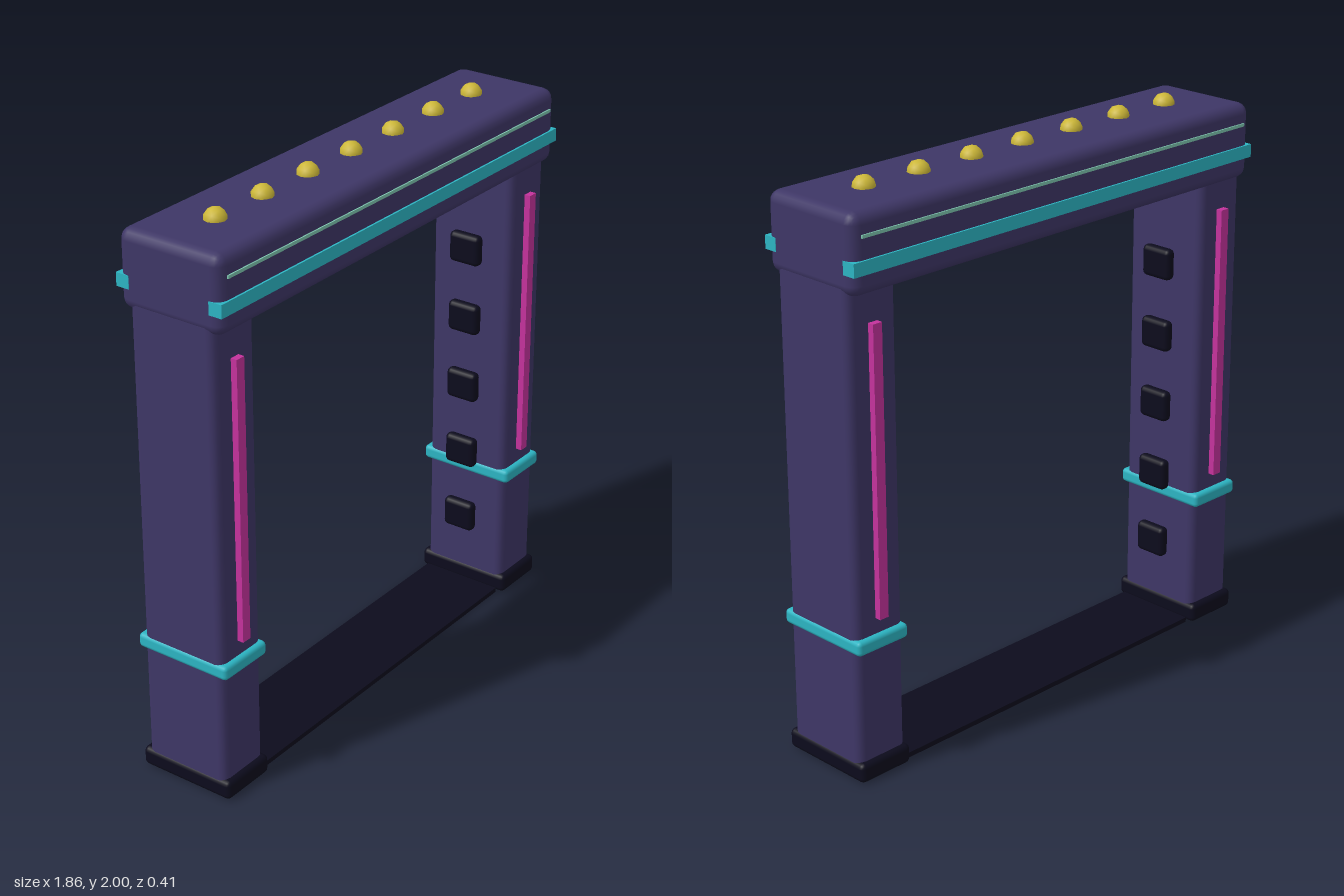
import * as THREE from 'three';
import { RoundedBoxGeometry } from 'three/addons/geometries/RoundedBoxGeometry.js';

const paint = (name, color) => {
  const m = new THREE.MeshStandardMaterial({ color });
  m.name = name;
  return m;
};

export function createModel() {
  const gate = new THREE.Group();
  gate.name = 'archGate';
  const violet = paint('violet', 0x3e3666);
  const black = paint('black', 0x0c0b1c);
  const cyan = paint('cyan', 0x2cb4c2);
  const magenta = paint('magenta', 0xc4329c);
  const gold = paint('gold', 0xcdb838);
  const mint = paint('mint', 0x7cc4ae);

  const add = (name, geometry, material, x, y, z, parent = gate) => {
    const mesh = new THREE.Mesh(geometry, material);
    mesh.name = name;
    mesh.position.set(x, y, z);
    parent.add(mesh);
    return mesh;
  };
  const rounded = (w, h, d, r, s = 2) => new RoundedBoxGeometry(w, h, d, s, r);

  // Posts with feet, cuffs, light strips and inner sensor pads
  for (const side of [-1, 1]) {
    const post = new THREE.Group();
    post.name = side > 0 ? 'leftPost' : 'rightPost';
    gate.add(post);
    const x = side * 0.822;
    add('column', rounded(0.206, 1.72, 0.33, 0.028), violet, x, 0.88, 0, post);
    add('foot', rounded(0.216, 0.07, 0.37, 0.018), black, x, 0.04, 0, post);
    add('cuff', rounded(0.216, 0.052, 0.37, 0.015), cyan, x, 0.498, 0, post);
    for (const face of [-1, 1])
      add('lightStrip', new THREE.BoxGeometry(0.037, 1.01, 0.03), magenta, x, 1.085, face * 0.173, post);
    for (let i = 0; i < 5; i++)
      add('sensorPad', rounded(0.043, 0.115, 0.125, 0.018), black, side * 0.688, 0.305 + i * 0.27, 0, post);
  }

  // Header beam with trim on both faces
  add('header', rounded(1.856, 0.27, 0.4, 0.038), violet, 0, 1.825, 0);
  for (const face of [-1, 1]) {
    add('headerBand', new THREE.BoxGeometry(1.858, 0.046, 0.05), cyan, 0, 1.787, face * 0.182);
    add('headerLine', new THREE.BoxGeometry(1.78, 0.011, 0.012), mint, 0, 1.886, face * 0.199);
  }

  // Row of roof bulbs
  const bulb = new THREE.IcosahedronGeometry(0.039, 1);
  for (let i = -3; i <= 3; i++) add('roofBulb', bulb, gold, i * 0.2325, 1.961, 0);

  // Threshold plate between the feet
  add('threshold', new THREE.BoxGeometry(1.42, 0.018, 0.31), black, 0, 0.012, 0);
  return gate;
}
